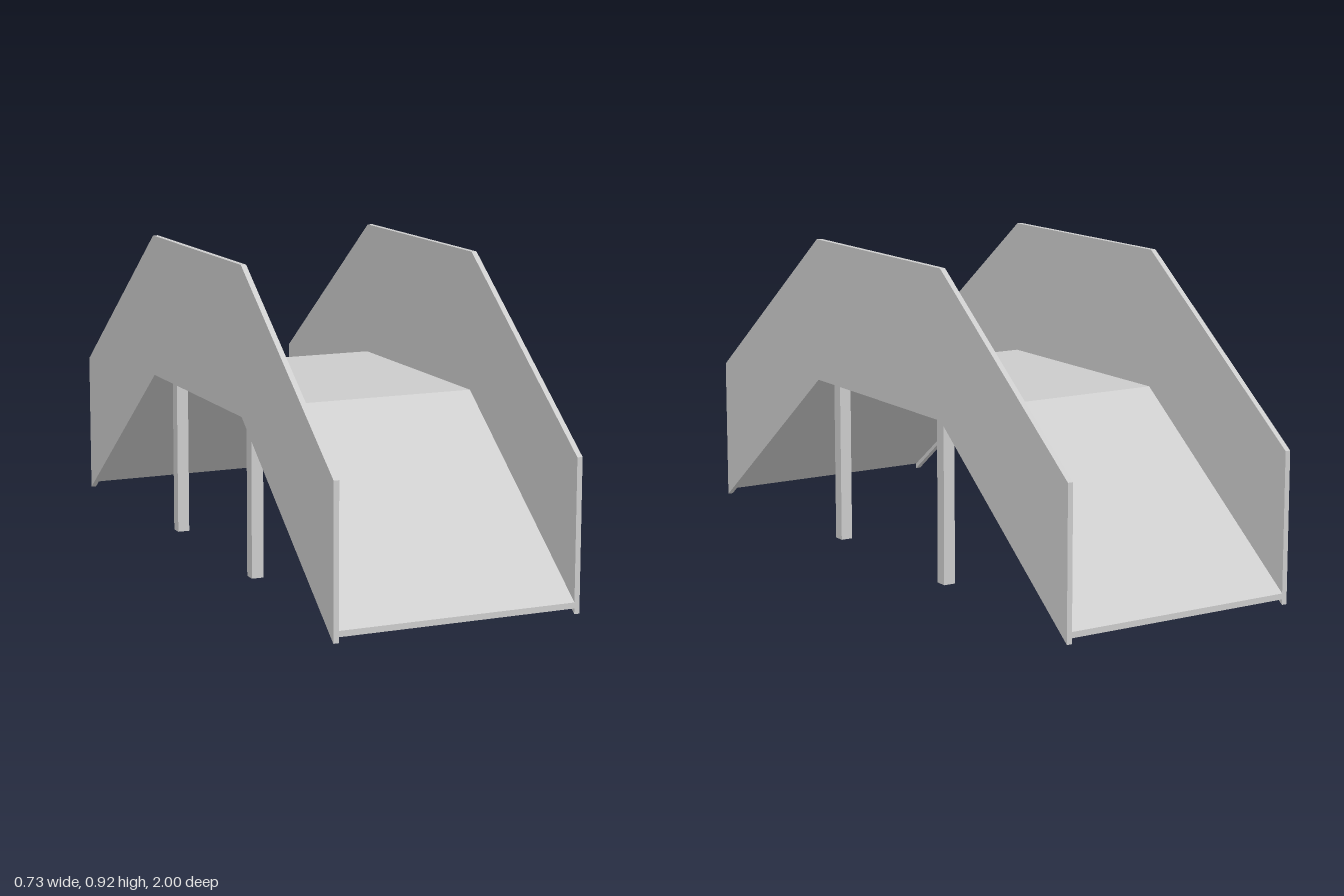
import * as THREE from 'three';

const material = new THREE.MeshStandardMaterial({ color: 0xcccccc, flatShading: true });

// Extrude a [z, y] side profile across the width, starting at x0
function extrudeAcross(name, profile, x0, width) {
  const shape = new THREE.Shape(profile.map(([z, y]) => new THREE.Vector2(-z, y)));
  const geometry = new THREE.ExtrudeGeometry(shape, { depth: width, bevelEnabled: false });
  geometry.rotateY(Math.PI / 2); // shape x -> -z, depth -> +x
  geometry.translate(x0, 0, 0);
  const mesh = new THREE.Mesh(geometry, material);
  mesh.name = name;
  return mesh;
}

export function createModel() {
  const bridge = new THREE.Group();
  bridge.name = 'footbridge';

  const bend = 0.36; // z where the ramps meet the deck
  const inner = 0.35; // inner face of the side walls
  const wall = 0.016;

  // Tall side walls following the ramps and the deck
  const wallProfile = [
    [1, 0.004], [1, 0.44], [bend, 0.92], [-bend, 0.92],
    [-1, 0.44], [-1, 0.004], [-bend, 0.49], [bend, 0.49],
  ];
  bridge.add(extrudeAcross('leftWall', wallProfile, inner, wall));
  bridge.add(extrudeAcross('rightWall', wallProfile, -inner - wall, wall));

  // Flat deck between the walls
  bridge.add(extrudeAcross('deck',
    [[bend, 0.497], [bend, 0.515], [-bend, 0.515], [-bend, 0.497]], -inner, 2 * inner));

  // Sloping ramps at the front and back
  for (const s of [1, -1]) {
    bridge.add(extrudeAcross(s > 0 ? 'frontRamp' : 'backRamp',
      [[s, 0.02], [s, 0.037], [s * bend, 0.515], [s * bend, 0.497]], -inner, 2 * inner));
  }

  // Four square posts under the deck
  for (const [x, bottom] of [[0.314, 0], [-0.304, 0.008]]) {
    for (const z of [0.305, -0.302]) {
      const height = 0.5 - bottom;
      const post = new THREE.Mesh(new THREE.BoxGeometry(0.036, height, 0.036), material);
      post.position.set(x, bottom + height / 2, z);
      post.name = (z > 0 ? 'front' : 'back') + (x > 0 ? 'Left' : 'Right') + 'Post';
      bridge.add(post);
    }
  }
  return bridge;
}
